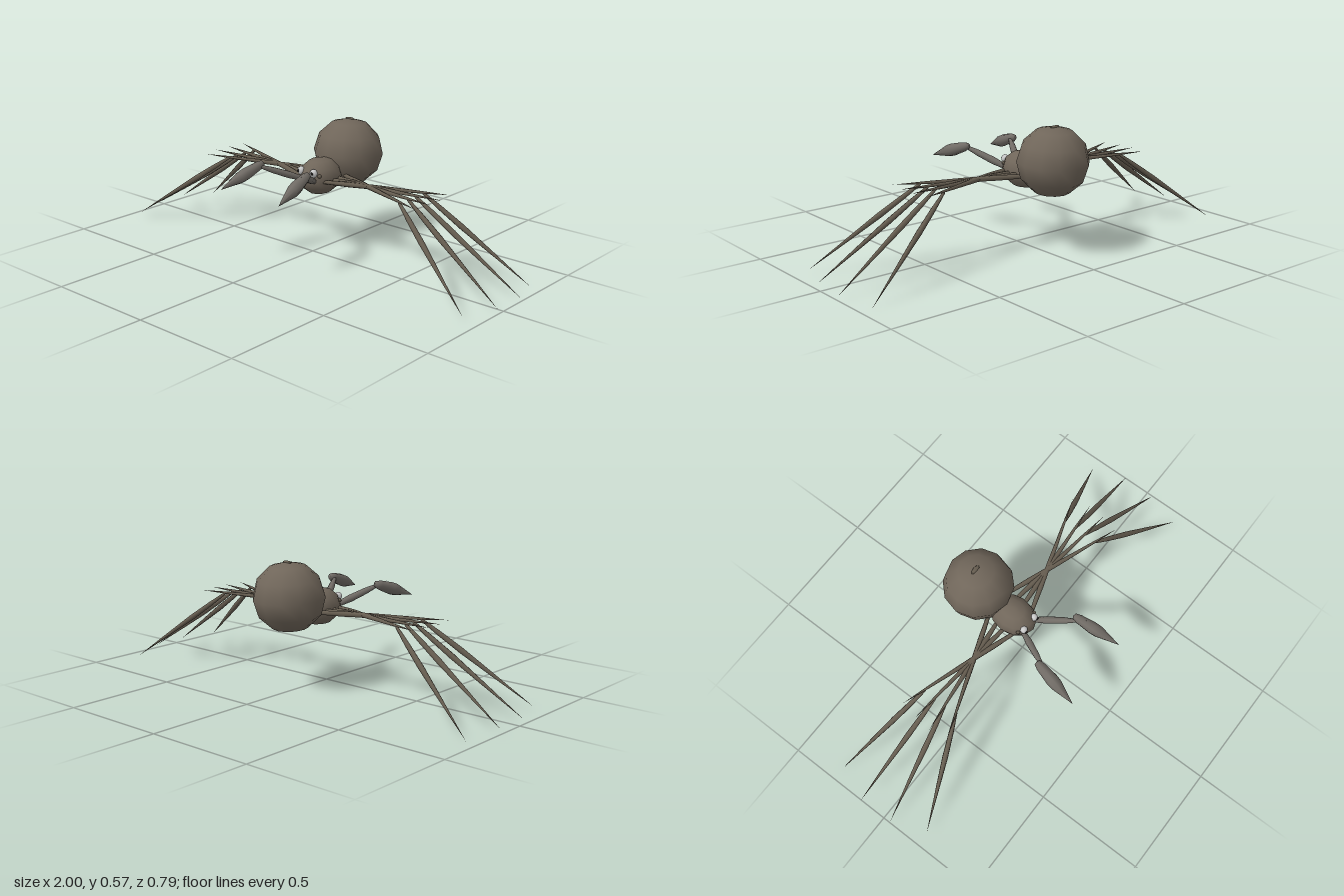
import * as THREE from 'three';

const paint = (color) => new THREE.MeshStandardMaterial({ color, roughness: 0.8 });
const bodyMat = paint(0x70665a);
const legMat = paint(0x665d50);
const palpMat = paint(0x716c66);
const eyeMat = paint(0xd8d8d8);
const pupilMat = paint(0x1c1a18);

// Ellipsoid with few sides
function ball(name, mat, [x, y, z], [rx, ry, rz], sides = 12, rings = 6) {
  const mesh = new THREE.Mesh(new THREE.SphereGeometry(1, sides, rings), mat);
  mesh.name = name;
  mesh.position.set(x, y, z);
  mesh.scale.set(rx, ry, rz);
  return mesh;
}

// Spindle from a to b; profile is a list of [share of length, share of radius]
function spindle(name, mat, a, b, radius, profile, sides = 7) {
  const from = new THREE.Vector3(...a);
  const dir = new THREE.Vector3(...b).sub(from);
  const length = dir.length();
  const points = profile.map(([t, r]) => new THREE.Vector2(r * radius, t * length));
  const mesh = new THREE.Mesh(new THREE.LatheGeometry(points, sides), mat);
  mesh.name = name;
  mesh.position.copy(from);
  mesh.quaternion.setFromUnitVectors(new THREE.Vector3(0, 1, 0), dir.normalize());
  return mesh;
}

const femurProfile = [[0, 0], [0.04, 0.7], [0.25, 1], [0.5, 0.85], [0.78, 0.5], [1, 0]];
const shinProfile = [[0, 0], [0.03, 0.5], [0.18, 0.85], [0.38, 1], [0.65, 0.62], [1, 0]];
const clubProfile = [[0, 0], [0.02, 0.5], [0.12, 0.75], [0.42, 1], [0.55, 0.95], [1, 0]];

export function createModel() {
  const model = new THREE.Group();

  // Abdomen with a small nub on top
  const abdomen = ball('abdomen', bodyMat, [0, 0.413, -0.24], [0.158, 0.153, 0.157]);
  abdomen.rotation.x = -0.06;
  model.add(abdomen);
  model.add(ball('abdomenNub', legMat, [0, 0.562, -0.25], [0.025, 0.007, 0.011], 8, 4));

  // Head and chest
  model.add(ball('headAndChest', bodyMat, [0, 0.343, -0.05], [0.086, 0.083, 0.11]));

  // Legs: upper parts cross beside the body at one pivot, tips fan out
  const tips = [
    [0.94, 0.022, 0.195],
    [0.995, 0.018, 0.035],
    [1.0, 0.013, -0.128],
    [0.945, 0.0, -0.288],
  ];
  const pivot = { x: 0.26, z: -0.062 };

  for (const side of [1, -1]) {
    const half = new THREE.Group();
    half.name = side > 0 ? 'leftSide' : 'rightSide';

    tips.forEach((tip, i) => {
      const leg = new THREE.Group();
      leg.name = 'leg' + (i + 1);
      const slope = (tip[2] - pivot.z) / (tip[0] - pivot.x);
      const at = (x, y) => [side * x, y, pivot.z + slope * (x - pivot.x)];
      const reach = i % 3 === 0 ? 0.605 : 0.625;
      leg.add(spindle('upperLeg', legMat, at(0.03, 0.336), at(reach, 0.35), 0.012, femurProfile));
      leg.add(spindle('lowerLeg', legMat, at(0.485, 0.352), [side * tip[0], tip[1], tip[2]], 0.0125, shinProfile));
      half.add(leg);
    });

    // Feelers
    half.add(spindle('feelerArm', palpMat, [side * 0.03, 0.335, 0.02], [side * 0.145, 0.43, 0.238],
      0.016, [[0, 0], [0.05, 0.7], [0.3, 1], [0.6, 0.85], [0.8, 0.5], [1, 0]], 8));
    half.add(spindle('feelerTip', palpMat, [side * 0.131, 0.424, 0.175], [side * 0.167, 0.346, 0.398],
      0.028, clubProfile, 8));

    // Eyes
    half.add(ball('eye', eyeMat, [side * 0.036, 0.377, 0.036], [0.017, 0.019, 0.017], 10, 8));
    half.add(ball('pupil', pupilMat, [side * 0.039, 0.378, 0.05], [0.007, 0.007, 0.006], 8, 6));
    half.add(ball('sideEye', legMat, [side * 0.057, 0.364, 0.02], [0.009, 0.009, 0.009], 8, 6));
    model.add(half);
  }
  return model;
}
